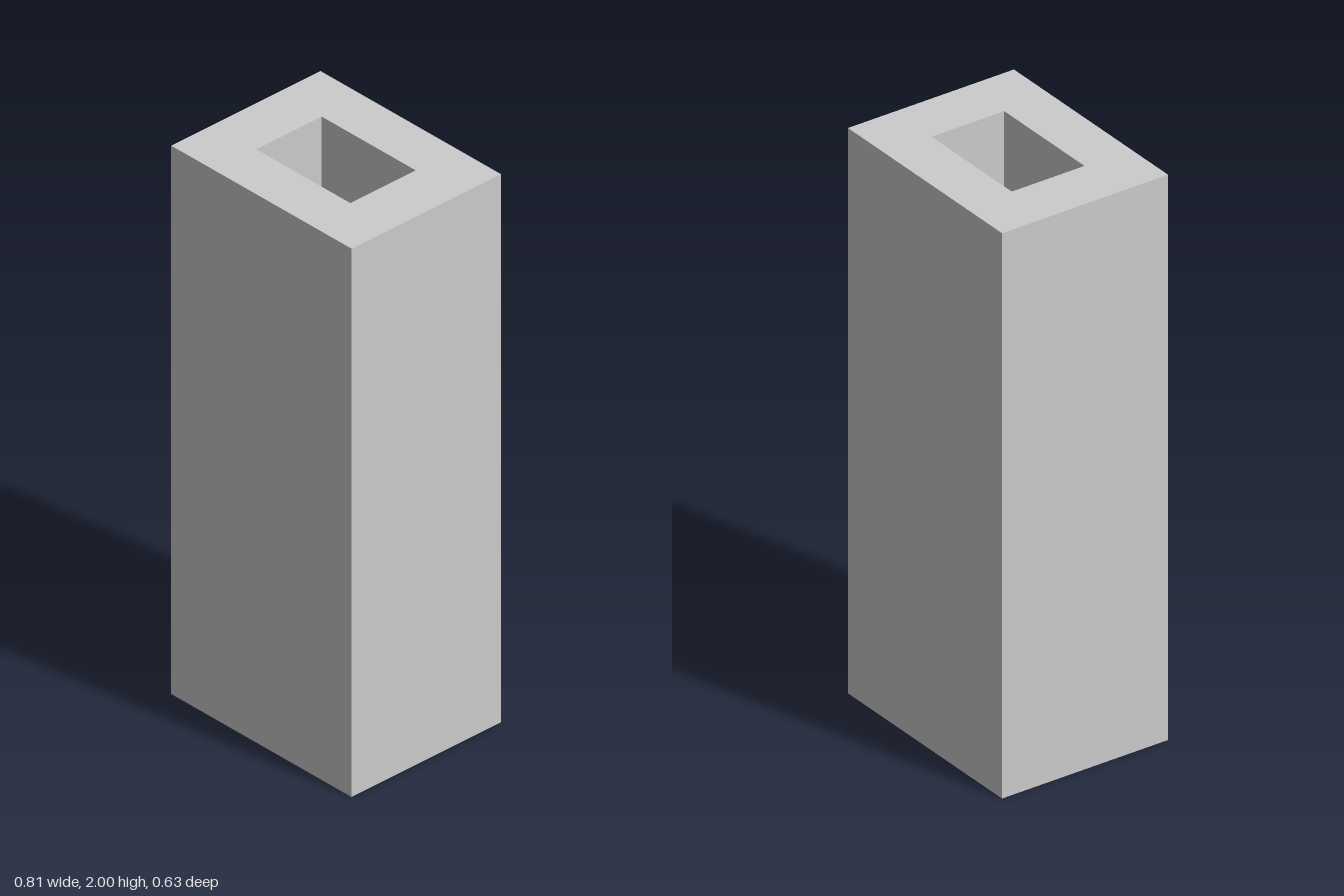
import * as THREE from 'three';

const W = 0.814, H = 2, D = 0.63;               // outer body
const FLUE_W = 0.424, FLUE_D = 0.276, FLUE_H = 0.5; // recess in the top

// Box with some faces left out (0 +x, 1 -x, 2 top, 3 bottom, 4 +z, 5 -z)
function openBox(w, h, d, skip) {
  const g = new THREE.BoxGeometry(w, h, d);
  const all = Array.from(g.index.array);
  g.setIndex(all.filter((_, i) => !skip.includes(Math.floor(i / 6))));
  g.clearGroups();
  return g;
}

// Rectangular outline centred on the origin
function rect(path, w, d) {
  path.moveTo(-w / 2, -d / 2);
  path.lineTo(w / 2, -d / 2);
  path.lineTo(w / 2, d / 2);
  path.lineTo(-w / 2, d / 2);
  path.closePath();
  return path;
}

export function createModel() {
  const group = new THREE.Group();
  group.name = 'chimney';
  const material = new THREE.MeshStandardMaterial({
    color: 0xcccccc, flatShading: true, side: THREE.DoubleSide,
  });
  const add = (name, geometry, y) => {
    const mesh = new THREE.Mesh(geometry, material);
    mesh.name = name;
    mesh.position.y = y;
    group.add(mesh);
  };

  // Four thin outer walls, open underneath
  add('outerWalls', openBox(W, H, D, [2, 3]), H / 2);

  // Flat top with a rectangular opening
  const rim = rect(new THREE.Shape(), W, D);
  rim.holes.push(rect(new THREE.Path(), FLUE_W, FLUE_D));
  add('topRim', new THREE.ShapeGeometry(rim).rotateX(-Math.PI / 2), H);

  // Recess walls and floor; flipped so the faces point inward
  const flue = openBox(FLUE_W, FLUE_H, FLUE_D, [2]);
  flue.setIndex(Array.from(flue.index.array).reverse());
  const n = flue.attributes.normal;
  for (let i = 0; i < n.count; i++) n.setXYZ(i, -n.getX(i), -n.getY(i), -n.getZ(i));
  add('flueRecess', flue, H - FLUE_H / 2);

  return group;
}
